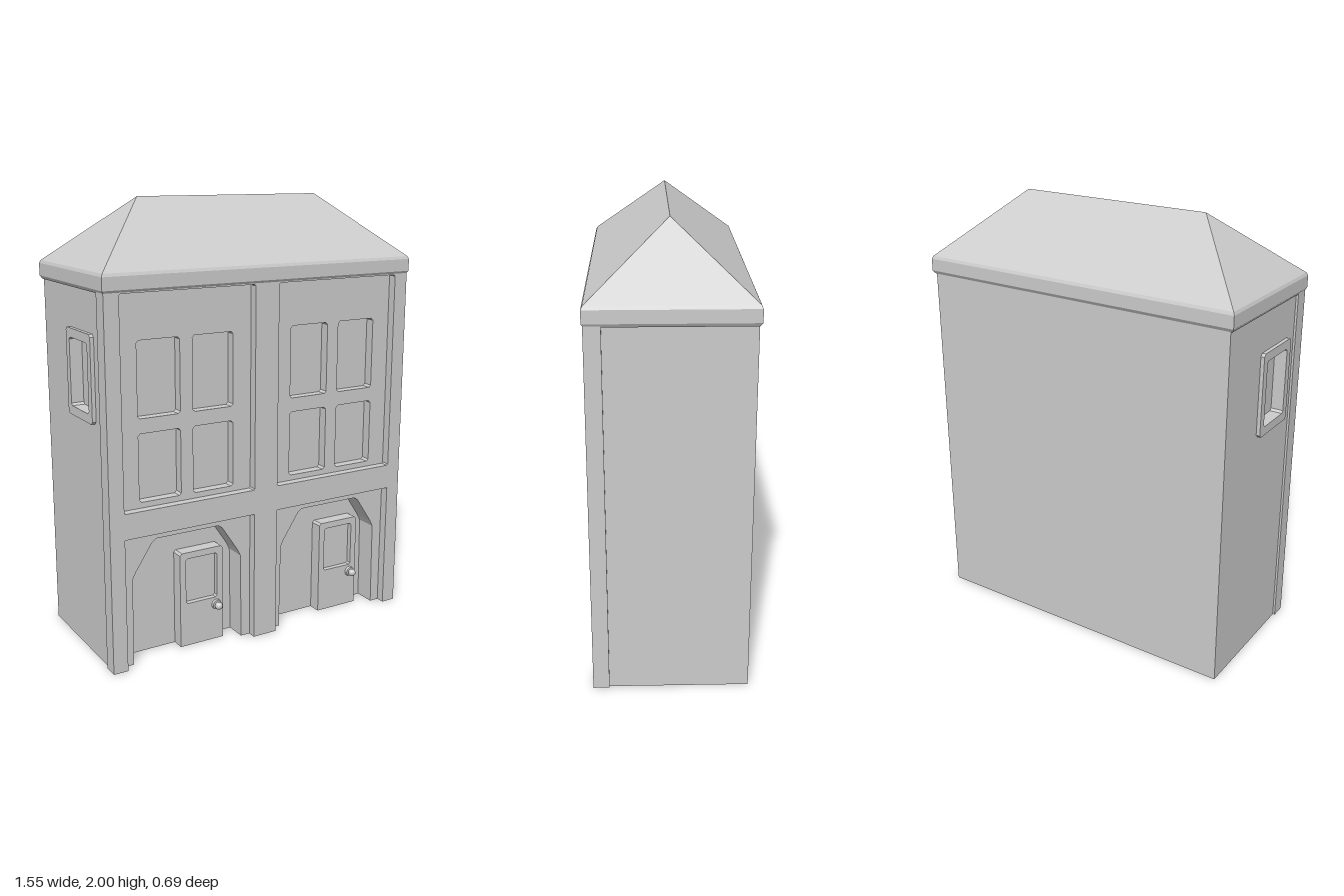
import * as THREE from 'three';

const mat = new THREE.MeshStandardMaterial({ color: 0xcccccc, flatShading: true, side: THREE.DoubleSide });
const smooth = new THREE.MeshStandardMaterial({ color: 0xcccccc });

const vec = (pts) => pts.map(([x, y]) => new THREE.Vector2(x, y));

// Counter-clockwise rectangle with small cut corners
function rect(x0, y0, x1, y1, c = 0) {
  if (!c) return [[x0, y0], [x1, y0], [x1, y1], [x0, y1]];
  return [[x0 + c, y0], [x1 - c, y0], [x1, y0 + c], [x1, y1 - c],
    [x1 - c, y1], [x0 + c, y1], [x0, y1 - c], [x0, y0 + c]];
}

function add(parent, name, geometry, material = mat) {
  const mesh = new THREE.Mesh(geometry, material);
  mesh.name = name;
  parent.add(mesh);
  return mesh;
}

// Flat panel at depth z with optional holes
function sheet(parent, name, pts, z, holes = []) {
  const shape = new THREE.Shape(vec(pts));
  holes.forEach((h) => shape.holes.push(new THREE.Path(vec(h))));
  return add(parent, name, new THREE.ShapeGeometry(shape).translate(0, 0, z));
}

// Strip along an outline: faces outward if z1 > z0, inward if z1 < z0
function rim(parent, name, pts, z0, z1, closed = true) {
  const pos = [];
  const n = closed ? pts.length : pts.length - 1;
  for (let i = 0; i < n; i++) {
    const [ax, ay] = pts[i];
    const [bx, by] = pts[(i + 1) % pts.length];
    pos.push(ax, ay, z0, bx, by, z0, bx, by, z1, ax, ay, z0, bx, by, z1, ax, ay, z1);
  }
  const g = new THREE.BufferGeometry();
  g.setAttribute('position', new THREE.Float32BufferAttribute(pos, 3));
  g.computeVertexNormals();
  return add(parent, name, g);
}

// Depths of the facade layers
const FRONT = 0.34, WALL = 0.3, PANE = 0.255, ARCH = 0.2, DOOR = 0.26;
const EAVE = 1.64, SIDE = 0.758, PILLAR = 0.768, BACK = -0.335;

function makeDoor() {
  const door = new THREE.Group();
  door.name = 'door';
  const outline = [[0.2, 0], [0.2, 0.44], [0.19, 0.45], [-0.01, 0.45], [-0.02, 0.44], [-0.02, 0]];
  const glass = rect(0.01, 0.205, 0.17, 0.42, 0.008);
  sheet(door, 'doorLeaf', outline, DOOR, [glass]);
  rim(door, 'doorEdge', outline, ARCH, DOOR, false);
  rim(door, 'doorWindowEdge', glass, DOOR, DOOR - 0.025);
  sheet(door, 'doorWindow', glass, DOOR - 0.025);
  const plate = add(door, 'knobPlate', new THREE.CylinderGeometry(0.022, 0.024, 0.012, 16), smooth);
  plate.rotation.x = Math.PI / 2;
  plate.position.set(0.165, 0.17, DOOR + 0.006);
  add(door, 'doorKnob', new THREE.SphereGeometry(0.018, 16, 12), smooth)
    .position.set(0.165, 0.17, DOOR + 0.025);
  return door;
}

// One half of the facade, centred on its own x = 0
function makeBay(name) {
  const bay = new THREE.Group();
  bay.name = name;

  // Upper recess with four sunken windows
  const upper = rect(-0.32, 0.715, 0.32, 1.635, 0.006);
  const windows = [];
  for (const [y0, y1] of [[0.74, 1.04], [1.105, 1.435]]) {
    for (const x of [-0.23, 0.03]) windows.push(rect(x, y0, x + 0.2, y1, 0.01));
  }
  rim(bay, 'upperRecessEdge', upper, FRONT, WALL);
  sheet(bay, 'upperWall', upper, WALL, windows);
  windows.forEach((w) => {
    rim(bay, 'windowReveal', w, WALL, PANE);
    sheet(bay, 'windowPane', w, PANE);
  });

  // Lower recess, cut by an angular arch
  const lower = [[0.32, 0], [0.32, 0.6], [-0.32, 0.6], [-0.32, 0]];
  const arch = [[0.275, 0], [0.27, 0.4], [0.255, 0.43], [0.175, 0.55], [0.155, 0.565],
    [-0.155, 0.565], [-0.175, 0.55], [-0.255, 0.43], [-0.27, 0.4], [-0.275, 0]];
  rim(bay, 'lowerRecessEdge', lower, FRONT, WALL, false);
  sheet(bay, 'archWall', [...lower, ...[...arch].reverse()], WALL);
  rim(bay, 'archReveal', arch, WALL, ARCH, false);
  sheet(bay, 'archBackWall', arch, ARCH);
  bay.add(makeDoor());
  return bay;
}

// Hipped roof from stacked rectangular sections, closing to a ridge
function makeRoof() {
  const section = (x0, x1, z, y) => [[x0, y, z], [x1, y, z], [x1, y, -z], [x0, y, -z]];
  const rings = [
    section(-0.765, 0.765, 0.335, 1.635),
    section(-0.774, 0.774, 0.345, 1.65),
    section(-0.774, 0.774, 0.345, 1.705),
    section(-0.768, 0.768, 0.339, 1.718),
    section(-0.45, 0.47, 0, 2),
  ];
  const pos = [];
  const quad = (a, b, c, d) => pos.push(...a, ...b, ...c, ...a, ...c, ...d);
  for (let r = 0; r < rings.length - 1; r++) {
    for (let i = 0; i < 4; i++) {
      const j = (i + 1) % 4;
      quad(rings[r][i], rings[r][j], rings[r + 1][j], rings[r + 1][i]);
    }
  }
  quad(...[...rings[0]].reverse());
  const g = new THREE.BufferGeometry();
  g.setAttribute('position', new THREE.Float32BufferAttribute(pos, 3));
  g.computeVertexNormals();
  return g;
}

export function createModel() {
  const model = new THREE.Group();
  model.name = 'townHouse';

  // Facade frame: pillars and beams around the bays
  const c = 0.38, h = 0.32;
  const outline = [[-PILLAR, 0], [-c - h, 0], [-c - h, 0.6], [-c + h, 0.6], [-c + h, 0],
    [c - h, 0], [c - h, 0.6], [c + h, 0.6], [c + h, 0], [PILLAR, 0], [PILLAR, EAVE], [-PILLAR, EAVE]];
  sheet(model, 'facadeFrame', outline, FRONT,
    [-c, c].map((x) => rect(x - h, 0.715, x + h, 1.635, 0.006)));
  for (const [name, x] of [['rightBay', -c], ['leftBay', c]]) {
    const bay = makeBay(name);
    bay.position.x = x;
    model.add(bay);
  }

  // Pillar sides, left wall and back wall, traced in plan as (x, -z)
  const shell = [[PILLAR, -FRONT], [PILLAR, -0.27], [SIDE, -0.27], [SIDE, -BACK], [-SIDE, -BACK]];
  rim(model, 'leftAndBackWalls', shell, 0, EAVE, false).rotation.x = -Math.PI / 2;
  const corner = [[-SIDE, -0.27], [-PILLAR, -0.27], [-PILLAR, -FRONT]];
  rim(model, 'rightPillarSide', corner, 0, EAVE, false).rotation.x = -Math.PI / 2;

  // Right wall with a framed window, drawn in its own plane
  const right = new THREE.Group();
  right.name = 'rightWall';
  right.rotation.y = -Math.PI / 2;
  const outer = rect(-0.05, 1.08, 0.21, 1.46, 0.012);
  const inner = rect(-0.015, 1.12, 0.175, 1.42, 0.01);
  sheet(right, 'rightWallPanel', rect(BACK, 0, 0.27, EAVE), SIDE, [inner]);
  rim(right, 'sideWindowFrameEdge', outer, SIDE, SIDE + 0.017);
  sheet(right, 'sideWindowFrame', outer, SIDE + 0.017, [inner]);
  rim(right, 'sideWindowReveal', inner, SIDE + 0.017, SIDE - 0.04);
  sheet(right, 'sideWindowPane', inner, SIDE - 0.04);
  model.add(right);

  add(model, 'roof', makeRoof());
  return model;
}
